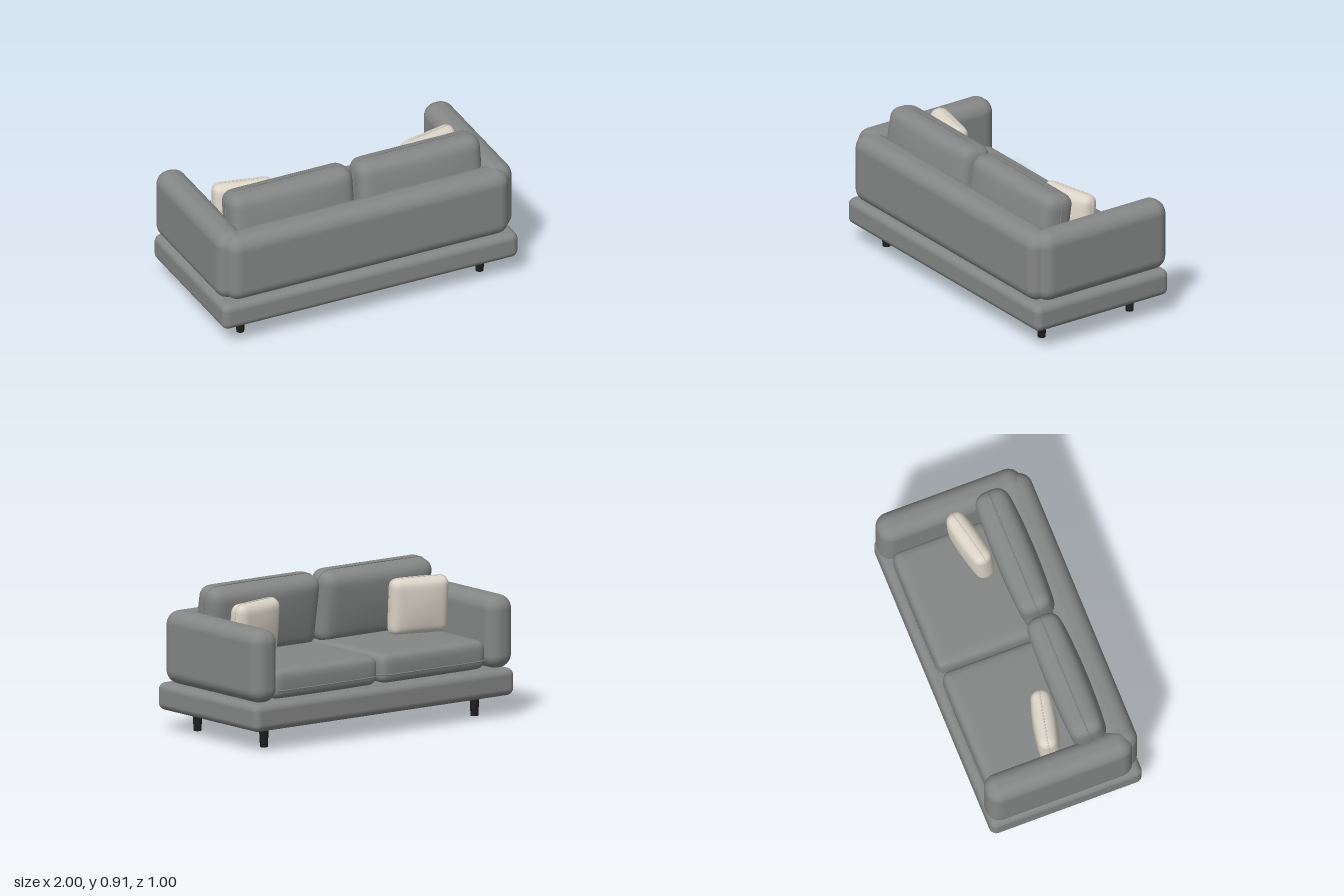
import * as THREE from 'three';
import { mergeVertices } from 'three/addons/utils/BufferGeometryUtils.js';
import { RoundedBoxGeometry } from 'three/addons/geometries/RoundedBoxGeometry.js';

const fabric = new THREE.MeshStandardMaterial({ color: 0x858786 });
fabric.name = 'grey fabric';
const linen = new THREE.MeshStandardMaterial({ color: 0xdcd4c8 });
linen.name = 'cream linen';
const black = new THREE.MeshStandardMaterial({ color: 0x1e1e1e });
black.name = 'black wood';

function add(parent, name, geometry, material, x = 0, y = 0, z = 0) {
  const mesh = new THREE.Mesh(geometry, material);
  mesh.name = name;
  mesh.position.set(x, y, z);
  parent.add(mesh);
  return mesh;
}

// Rounded box given by its min and max corners
function block(parent, name, [x0, y0, z0], [x1, y1, z1], r) {
  const geometry = new RoundedBoxGeometry(x1 - x0, y1 - y0, z1 - z0, 6, r);
  return add(parent, name, geometry, fabric, (x0 + x1) / 2, (y0 + y1) / 2, (z0 + z1) / 2);
}

// Stuffed slab, thickness along z: rounded edges, both faces swelling to the middle
function stuffedGeometry(w, h, t, r, bulge) {
  const half = new THREE.Vector3(w / 2, h / 2, t / 2);
  const core = half.clone().subScalar(r);
  const geometry = new THREE.BoxGeometry(2, 2, 2, 24, 24, 10);
  const pos = geometry.attributes.position;
  const p = new THREE.Vector3(), inner = new THREE.Vector3();
  for (let i = 0; i < pos.count; i++) {
    p.fromBufferAttribute(pos, i);
    // crowd the rows towards the edges
    for (const a of ['x', 'y', 'z']) p[a] = Math.sin(p[a] * Math.PI / 2) * half[a];
    inner.copy(p).clamp(core.clone().negate(), core);
    p.sub(inner).setLength(r).add(inner);
    const u = p.x / half.x, v = p.y / half.y;
    p.z *= 1 + bulge * (1 - u * u) * (1 - v * v);
    pos.setXYZ(i, p.x, p.y, p.z);
  }
  geometry.deleteAttribute('uv');
  geometry.deleteAttribute('normal');
  const merged = mergeVertices(geometry, 1e-5);
  merged.computeVertexNormals();
  return merged;
}

// Piping that runs round the rim of a cushion
function pipingGeometry(w, h, r) {
  const points = [];
  for (let corner = 0; corner < 4; corner++) {
    const sx = corner === 0 || corner === 3 ? 1 : -1, sy = corner < 2 ? 1 : -1;
    for (let k = 0; k <= 5; k++) {
      const a = (corner + k / 5) * Math.PI / 2;
      points.push(new THREE.Vector3(
        sx * (w / 2 - r) + Math.cos(a) * r, sy * (h / 2 - r) + Math.sin(a) * r, 0));
    }
  }
  const path = new THREE.CatmullRomCurve3(points, true, 'centripetal');
  return new THREE.TubeGeometry(path, 120, 0.004, 6, true);
}

function cushion(parent, name, material, { w, h, t, r, bulge, seam = 0 }) {
  const group = new THREE.Group();
  group.name = name;
  group.rotation.order = 'YXZ';
  add(group, name + 'Body', stuffedGeometry(w, h, t, r, bulge), material);
  add(group, name + 'Piping', pipingGeometry(w, h, r), material, 0, 0, seam);
  parent.add(group);
  return group;
}

export function createModel() {
  const sofa = new THREE.Group();
  sofa.name = 'sofa';

  // Plinth and backrest
  block(sofa, 'base', [-1, 0.128, -0.49], [1, 0.298, 0.5], 0.045);
  block(sofa, 'backrest', [-0.955, 0.3, 0.3], [0.955, 0.74, 0.5], 0.085);

  for (const side of [-1, 1]) {
    const label = side > 0 ? 'left' : 'right';

    // Armrest
    const arm = block(sofa, label + 'Armrest', [0.81, 0.3, -0.495], [1, 0.752, 0.45], 0.085);
    arm.position.x *= side;

    // Seat cushion, lying flat
    const seat = cushion(sofa, label + 'SeatCushion', fabric,
      { w: 0.81, h: 0.75, t: 0.18, r: 0.055, bulge: 0.08, seam: -0.035 });
    seat.position.set(side * 0.415, 0.392, -0.065);
    seat.rotation.x = -Math.PI / 2;

    // Back cushion, leaning towards the seat
    const back = cushion(sofa, label + 'BackCushion', fabric,
      { w: 0.835, h: 0.45, t: 0.21, r: 0.075, bulge: 0.2 });
    back.position.set(side * 0.432, 0.685, 0.232);
    back.rotation.x = -0.16;

    // Throw pillow, turned towards the middle
    const pillow = cushion(sofa, label + 'ThrowPillow', linen,
      { w: 0.385, h: 0.355, t: 0.115, r: 0.052, bulge: 0.35 });
    pillow.position.set(side * 0.63, 0.655, 0.005);
    pillow.rotation.set(-0.08, side * 0.22, 0);

    // Tapered legs
    for (const [end, z] of [['front', -0.322], ['back', 0.333]]) {
      add(sofa, `${end}${label}Leg`, new THREE.CylinderGeometry(0.031, 0.024, 0.14, 24),
        black, side * 0.81, 0.07, z);
    }
  }
  return sofa;
}
